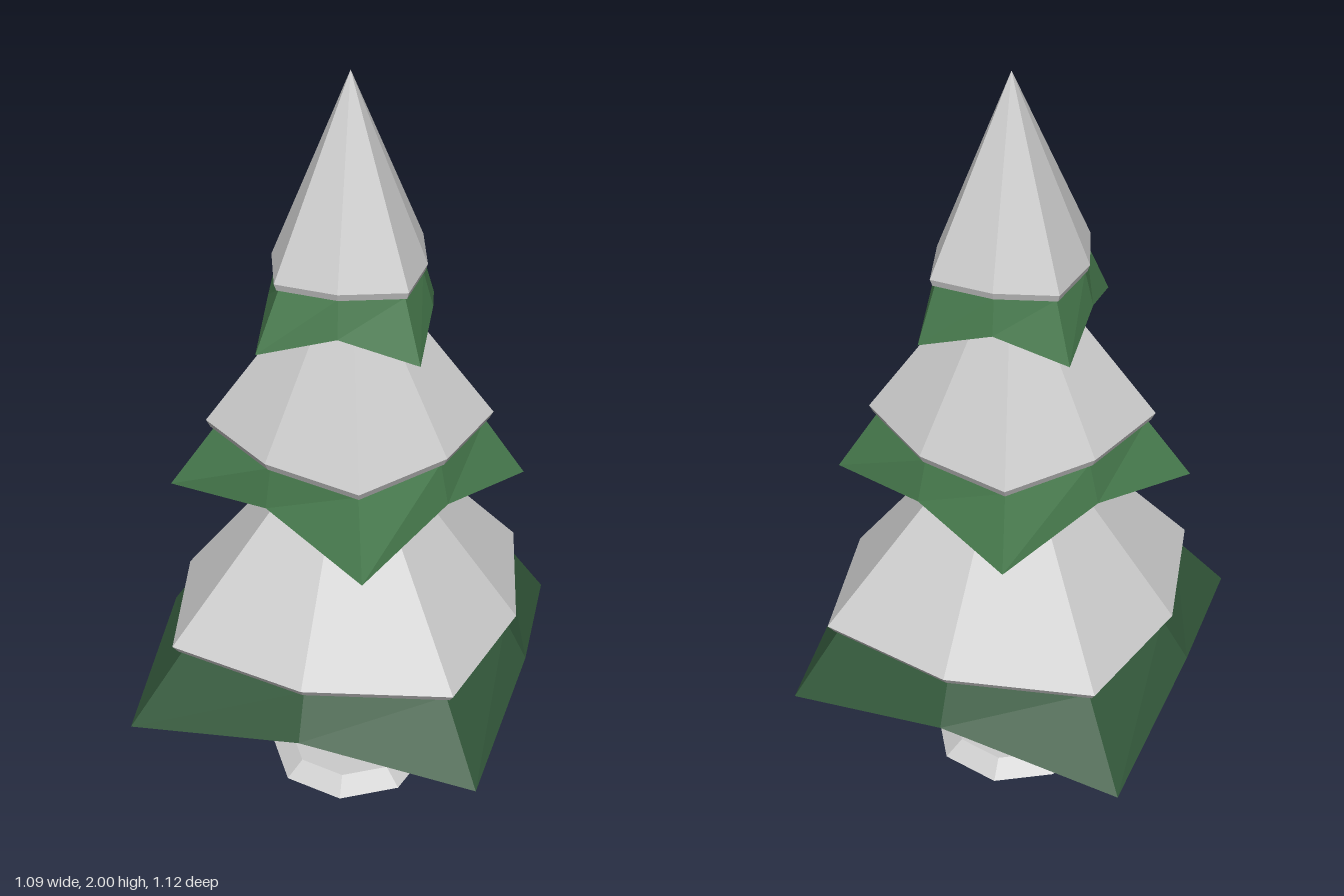
import * as THREE from 'three';

const CX = 0.01, CZ = 0.01;

function mat(color, side = THREE.FrontSide) {
  return new THREE.MeshStandardMaterial({ color, side, flatShading: true });
}

// Skin a stack of rings, listed from bottom to top; a single-point ring makes a tip
function loft(rings) {
  const pos = [];
  const n = Math.max(...rings.map(r => r.length));
  const at = (r, i) => r[i % r.length];
  for (let k = 0; k < rings.length - 1; k++) {
    const lo = rings[k], hi = rings[k + 1];
    for (let i = 0; i < n; i++) {
      const a = at(lo, i), b = at(lo, i + 1), c = at(hi, i + 1), d = at(hi, i);
      if (lo.length > 1) pos.push(...a, ...d, ...b);
      if (hi.length > 1) pos.push(...b, ...d, ...c);
    }
  }
  const g = new THREE.BufferGeometry();
  g.setAttribute('position', new THREE.Float32BufferAttribute(pos, 3));
  g.computeVertexNormals();
  return g;
}

// Outline [x, z, x, z, ...] (corners and mid points alternate) scaled about the trunk axis
function ring(outline, yCorner, yMid = yCorner, s = 1) {
  const pts = [];
  for (let i = 0; i < outline.length; i += 2) {
    pts.push([CX + (outline[i] - CX) * s, i % 4 ? yMid : yCorner, CZ + (outline[i + 1] - CZ) * s]);
  }
  return pts;
}

const tip = y => [[CX, y, CZ]];

const TIERS = [
  {
    name: 'lower', color: 0x33583b, yCorner: 0.34, yMid: 0.42, under: 0.46, snowLo: 0.53, snowHi: 0.55, top: 1.13,
    skirt: [-0.33, -0.565, 0.13, -0.46, 0.545, -0.305, 0.475, 0.13, 0.335, 0.56, -0.105, 0.485, -0.545, 0.34, -0.47, -0.11],
    snow: [-0.255, -0.435, 0.125, -0.425, 0.455, -0.26, 0.445, 0.12, 0.275, 0.455, -0.1, 0.445, -0.435, 0.275, -0.425, -0.1],
  },
  {
    name: 'middle', color: 0x477a4d, yCorner: 0.9, yMid: 0.96, under: 0.99, snowLo: 1.065, snowHi: 1.085, top: 1.58,
    skirt: [-0.025, -0.425, 0.21, -0.24, 0.455, -0.03, 0.255, 0.215, 0.05, 0.475, -0.19, 0.245, -0.445, 0.05, -0.23, -0.19],
    snow: [-0.02, -0.345, 0.205, -0.225, 0.37, -0.02, 0.25, 0.205, 0.04, 0.37, -0.19, 0.24, -0.35, 0.04, -0.22, -0.185],
  },
  {
    name: 'upper', color: 0x477a4d, yCorner: 1.355, yMid: 1.415, under: 1.44, snowLo: 1.507, snowHi: 1.525, top: 2,
    skirt: [-0.155, -0.2, 0.03, -0.185, 0.215, -0.15, 0.21, 0.04, 0.18, 0.23, -0.015, 0.215, -0.21, 0.185, -0.19, -0.01],
    snow: [-0.125, -0.165, 0.03, -0.175, 0.185, -0.13, 0.195, 0.035, 0.15, 0.185, -0.015, 0.2, -0.165, 0.15, -0.18, -0.01],
  },
];

export function createModel() {
  const tree = new THREE.Group();
  tree.name = 'snowyTree';
  const add = (name, geometry, material) => {
    const m = new THREE.Mesh(geometry, material);
    m.name = name;
    tree.add(m);
    return m;
  };
  const snowMat = mat(0xcccccc);

  // Branch tiers: a pointed green skirt under a snow cap
  for (const t of TIERS) {
    add(t.name + 'Branches', loft([
      tip(t.under),
      ring(t.skirt, t.yCorner, t.yMid),
      ring(t.snow, t.snowLo, t.snowLo, 0.94),
    ]), mat(t.color));
    add(t.name + 'Snow', loft([
      tip(t.snowLo),
      ring(t.snow, t.snowLo, t.snowLo, 0.97),
      ring(t.snow, t.snowHi),
      tip(t.top),
    ]), snowMat);
  }

  // Trunk: open tapered tube
  const trunk = add('trunk', new THREE.CylinderGeometry(0.074, 0.087, 0.48, 8, 1, true), mat(0x4d3529, THREE.DoubleSide));
  trunk.position.set(CX, 0.24, CZ);
  trunk.rotation.y = -0.2;

  // Snow mound at the foot: shallow shell, open below
  const mound = new THREE.LatheGeometry(
    [[0.215, 0], [0.165, 0.04], [0, 0.04]].map(p => new THREE.Vector2(...p)), 8);
  const foot = add('groundSnow', mound, mat(0xcccccc, THREE.DoubleSide));
  foot.position.set(CX, 0, CZ);
  foot.rotation.y = -0.1;
  return tree;
}
